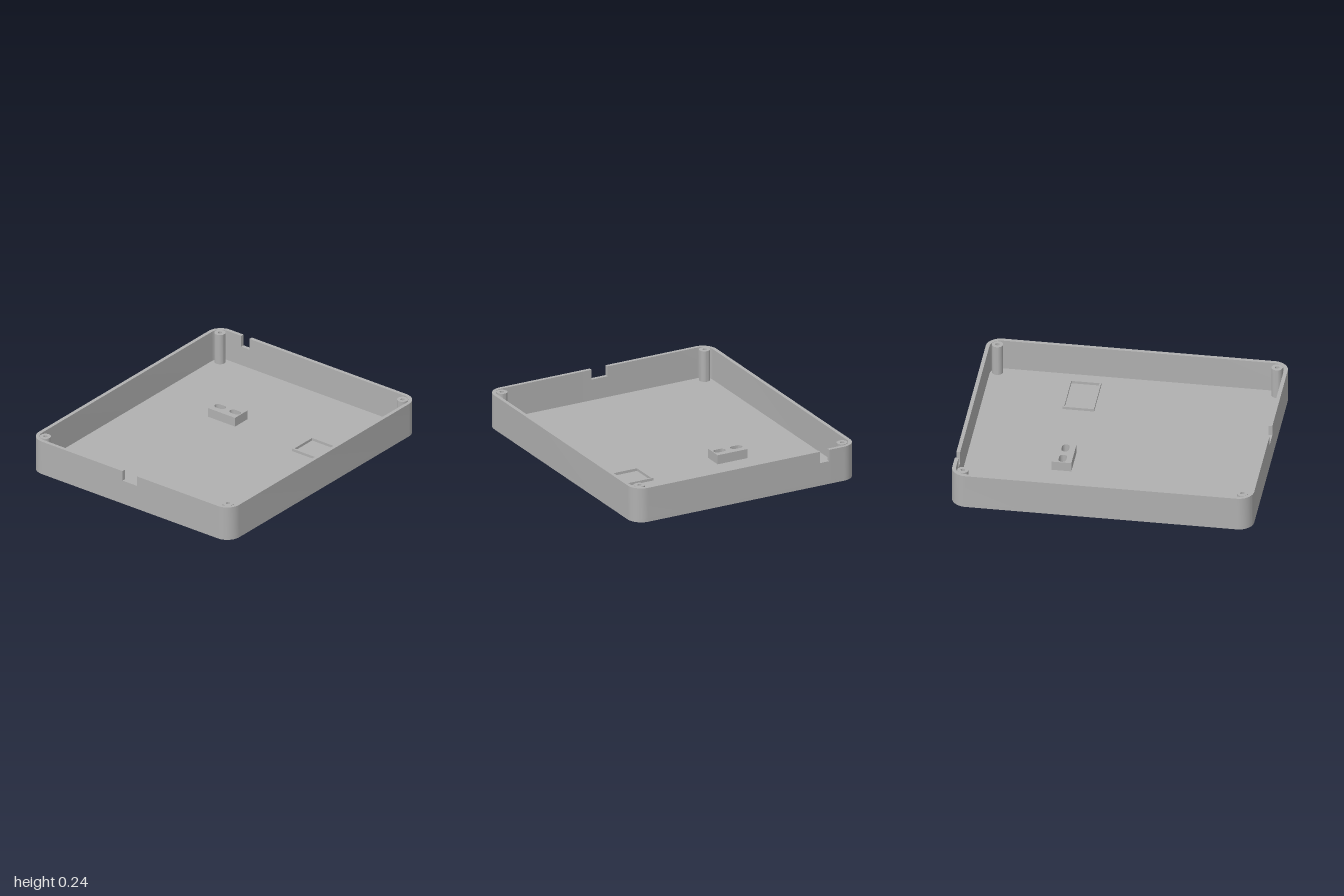
import * as THREE from 'three';
import { toCreasedNormals } from 'three/addons/utils/BufferGeometryUtils.js';

const W = 0.833, L = 1, H = 0.24; // half width, half length, height
const R = 0.1, T = 0.025, FLOOR = 0.024; // corner radius, wall and floor thickness

// Extrude a plan shape (x, z) between two heights
function slab(shape, y0, y1) {
  const geo = new THREE.ExtrudeGeometry(shape, { depth: y1 - y0, bevelEnabled: false, curveSegments: 16 });
  geo.rotateX(Math.PI / 2).translate(0, y1, 0);
  return toCreasedNormals(geo, 0.5);
}

function rect(x0, x1, z0, z1, Kind = THREE.Shape) {
  return new Kind([[x0, z0], [x1, z0], [x1, z1], [x0, z1]].map(p => new THREE.Vector2(...p)));
}

function arcPoints(cx, cz, r, a0, a1) {
  return Array.from({ length: 17 }, (_, i) => {
    const a = a0 + (a1 - a0) * i / 16;
    return new THREE.Vector2(cx + r * Math.cos(a), cz + r * Math.sin(a));
  });
}

// Front and back corner arcs on the +x side
function sideArcs(r) {
  return [
    ...arcPoints(W - R, L - R, r, Math.PI / 2, 0),
    ...arcPoints(W - R, R - L, r, 0, -Math.PI / 2),
  ];
}

// C-shaped wall from the front notch round one side to the back notch
function wallShape(side, frontX, backX) {
  const pts = [
    new THREE.Vector2(frontX, L), ...sideArcs(R), new THREE.Vector2(backX, -L),
    new THREE.Vector2(backX, T - L), ...sideArcs(R - T).reverse(), new THREE.Vector2(frontX, L - T),
  ];
  return new THREE.Shape(pts.map(p => new THREE.Vector2(p.x * side, p.y)));
}

// Stadium-shaped openings through the block and floor
function slots() {
  return [-0.295, -0.17].map(x => {
    const r = 0.025, h = 0.017;
    return new THREE.Path([
      ...arcPoints(x + h, -0.335, r, -Math.PI / 2, Math.PI / 2),
      ...arcPoints(x - h, -0.335, r, Math.PI / 2, Math.PI * 1.5),
    ]);
  });
}

export function createModel() {
  const group = new THREE.Group();
  const grey = new THREE.MeshStandardMaterial({ color: 0xb0b0b0 });
  grey.name = 'grey plastic';
  const add = (name, geo) => {
    const mesh = new THREE.Mesh(geo, grey);
    mesh.name = name;
    group.add(mesh);
    return mesh;
  };

  // Floor with rounded corners
  const right = sideArcs(R);
  const left = right.map(p => new THREE.Vector2(-p.x, p.y)).reverse();
  const floor = new THREE.Shape([...right, ...left]);
  floor.holes.push(...slots());
  add('floor', slab(floor, 0, FLOOR));

  // Walls, with low sills closing the bottom of each notch
  add('rightWall', slab(wallShape(1, 0.06, -0.553), FLOOR, H));
  add('leftWall', slab(wallShape(-1, 0.06, 0.622), FLOOR, H));
  add('frontNotchSill', slab(rect(-0.06, 0.06, L - T, L), FLOOR, 0.17));
  add('backNotchSill', slab(rect(-0.622, -0.553, -L, T - L), FLOOR, 0.16));

  // Hollow screw posts in the corners
  const post = new THREE.Shape().absarc(0, 0, 0.037, 0, Math.PI * 2);
  post.holes.push(new THREE.Path().absarc(0, 0, 0.014, 0, Math.PI * 2));
  const postGeo = slab(post, FLOOR, H);
  for (const x of [-0.76, 0.76]) {
    for (const z of [-0.926, 0.926]) add('screwPost', postGeo).position.set(x, 0, z);
  }

  // Raised block with two slots
  const block = rect(-0.345, -0.12, -0.4, -0.27);
  block.holes.push(...slots());
  add('slottedBlock', slab(block, FLOOR, 0.088));

  // Low rectangular frame on the floor
  const frame = rect(0.385, 0.71, -0.44, -0.23);
  frame.holes.push(rect(0.397, 0.698, -0.428, -0.242, THREE.Path));
  add('floorFrame', slab(frame, FLOOR, 0.042));

  return group;
}
